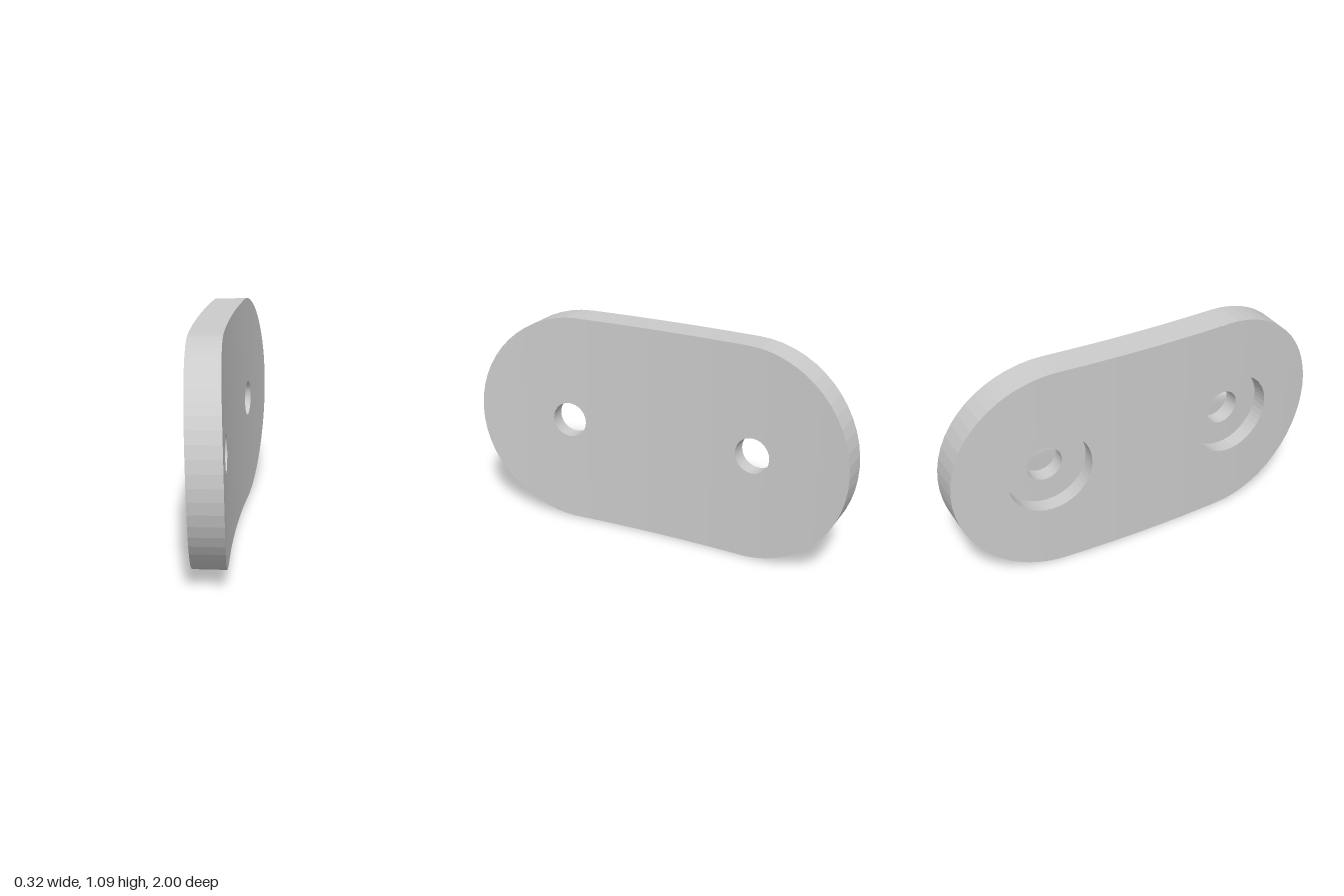
import * as THREE from 'three';

const HALF = 0.995;       // half length of the plate
const R = 0.543;          // radius of the rounded ends
const T = 0.16;           // thickness
const BEND = 0.067;       // x offset = BEND * z^2
const DEPTH = 0.08;       // counterbore depth, from the -x face
const HOLE_R = 0.09, BORE_R = 0.215;
const HOLES = [-0.5, 0.5];
const STRAIGHT = HALF - R;

// Point of the bent plate: w through the thickness, v up, u along the length
const point = (w, v, u) => [w + BEND * u * u, v, u];

// Hole axes follow the surface normal, so centres drift with depth
const holeCentre = (c, w) => c - 2 * BEND * c * (w - T);

// Hole rim at depth w
function rim(c, r, w, n = 48) {
  return Array.from({ length: n }, (_, i) => {
    const a = (i / n) * Math.PI * 2;
    return point(w, r * Math.cos(a), holeCentre(c, w) + r * Math.sin(a));
  });
}

// Stadium outline at depth w
function outline(w) {
  const pts = [], arc = 28, straight = 16;
  for (const s of [1, -1]) {
    for (let i = 0; i <= arc; i++) {
      const a = (i / arc) * Math.PI;
      pts.push(point(w, s * R * Math.cos(a), s * (STRAIGHT + R * Math.sin(a))));
    }
    for (let i = 1; i < straight; i++) {
      pts.push(point(w, -s * R, s * STRAIGHT * (1 - (2 * i) / straight)));
    }
  }
  return pts;
}

function createPlateGeometry() {
  const pos = [];
  const quad = (a, b, c, d) => pos.push(...a, ...b, ...c, ...a, ...c, ...d);
  const strip = (a, b) => a.forEach((p, i) => {
    const j = (i + 1) % a.length;
    quad(p, a[j], b[j], b[i]);
  });

  // Broad face at depth w, in columns running from the hole edge to the outline
  function face(w, r, towardX) {
    const us = [outline(w), ...HOLES.map(c => rim(c, r, w))].flat().map(p => p[2])
      .sort((a, b) => a - b).filter((u, i, all) => i === 0 || u - all[i - 1] > 1e-6);
    const half = (radius, d) => Math.sqrt(Math.max(0, radius * radius - d * d));
    const outer = u => half(R, Math.max(0, Math.abs(u) - STRAIGHT));
    const inner = u => Math.max(...HOLES.map(c => half(r, u - holeCentre(c, w))));
    for (let i = 0; i < us.length - 1; i++) {
      const [u, n] = [us[i], us[i + 1]];
      for (const s of [1, -1]) {
        const q = [point(w, s * inner(u), u), point(w, s * outer(u), u),
          point(w, s * outer(n), n), point(w, s * inner(n), n)];
        if ((s > 0) !== towardX) q.reverse();
        quad(...q);
      }
    }
  }

  face(T, HOLE_R, true);
  face(0, BORE_R, false);
  strip(outline(0), outline(T));

  // Through holes, counterbore floors and counterbore walls
  for (const c of HOLES) {
    const rings = [rim(c, HOLE_R, T), rim(c, HOLE_R, DEPTH), rim(c, BORE_R, DEPTH), rim(c, BORE_R, 0)];
    for (let i = 0; i < 3; i++) strip(rings[i], rings[i + 1]);
  }

  const geometry = new THREE.BufferGeometry();
  geometry.setAttribute('position', new THREE.Float32BufferAttribute(pos, 3));

  // Slight turn and lean, then centre on the ground
  geometry.rotateY(0.062);
  geometry.rotateZ(0.024);
  geometry.center();
  geometry.computeBoundingBox();
  geometry.translate(0, -geometry.boundingBox.min.y, 0);
  geometry.computeVertexNormals();
  return geometry;
}

export function createModel() {
  const group = new THREE.Group();
  group.name = 'curvedMountingPlate';
  const material = new THREE.MeshStandardMaterial({ color: 0xcccccc, flatShading: true });
  const plate = new THREE.Mesh(createPlateGeometry(), material);
  plate.name = 'plate';
  group.add(plate);
  return group;
}
